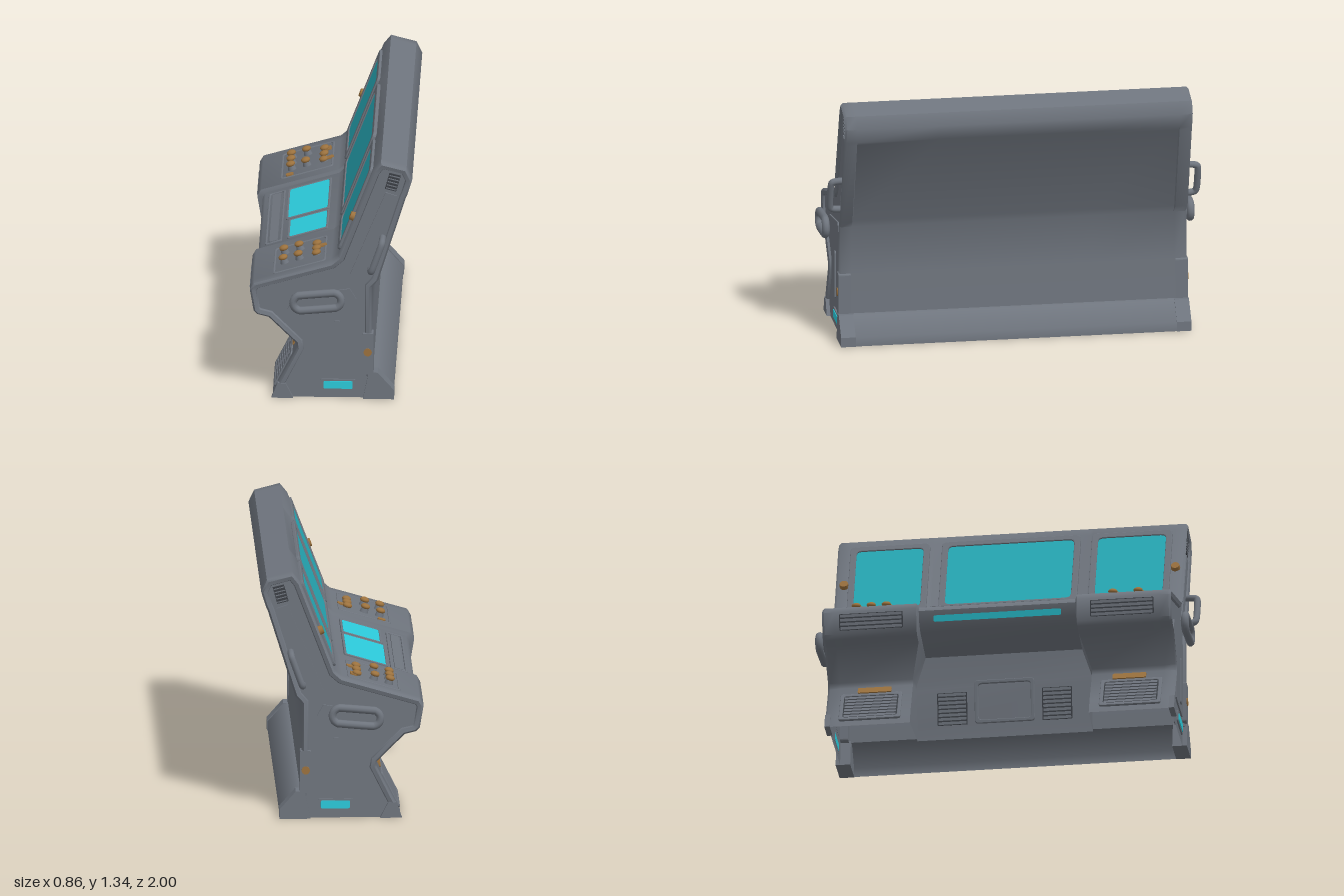
import * as THREE from 'three';
import { toCreasedNormals } from 'three/addons/utils/BufferGeometryUtils.js';

const material = (name, color, side = THREE.FrontSide) => {
  const m = new THREE.MeshStandardMaterial({ color, side });
  m.name = name;
  return m;
};
const body = material('grey metal', 0x6f757e, THREE.DoubleSide);
const dark = material('vent dark', 0x3c4046);
const glass = material('teal screen', 0x27abb8);
const glow = material('bright cyan', 0x2ccada);
const amber = material('amber', 0x9c723e);

// Cross-sections, from the front foot over the top to the back foot
const wing = [[-.31, 0], [-.28, .08], [-.18, .28], [-.185, .31], [-.33, .455], [-.39, .47], [-.41, .49], [-.43, .61],
  [-.41, .645], [0, .765], [.04, .8], [.225, 1.29], [.265, 1.34], [.4, 1.305], [.43, 1.24], [.405, 1.16],
  [.396, 1.14], [.25, .67], [.215, .63], [.215, .37], [.222, .15], [.245, .145], [.33, .05], [.33, 0]];
const kneeFront = [[-.07, 0], [-.075, .08], [-.1, .28], [-.1, .31], [-.12, .46], [-.33, .51], [-.375, .54], [-.4, .605],
  [-.385, .632], [.005, .75], [.045, .79], [.23, 1.288]];
const recessBack = (p) => p.map(([x, y], i) => (i === 16 || i === 17 ? [x - .012, y] : [x, y]));
const wingInner = recessBack(wing);
const middle = recessBack([...kneeFront, ...wing.slice(12)]);

// Shrinks a cross-section inward, keeping its ends on the floor
function inset(p, d) {
  const normal = (a, b) => {
    const l = Math.hypot(b[0] - a[0], b[1] - a[1]);
    return [(b[1] - a[1]) / l, -(b[0] - a[0]) / l];
  };
  const last = p.length - 1;
  return p.map((q, i) => {
    const end = i === 0 || i === last;
    const n0 = i === 0 ? normal(p[0], p[1]) : normal(p[i - 1], q);
    const n1 = i === last ? n0 : normal(q, p[i + 1]);
    const k = d / (1 + n0[0] * n1[0] + n0[1] * n1[1]);
    return [q[0] + (n0[0] + n1[0]) * k, end ? 0 : q[1] + (n0[1] + n1[1]) * k];
  });
}

// Skin through cross-sections placed along z, open underneath
function loft(stations) {
  const pos = [], index = [], n = wing.length;
  stations.forEach(([p, z]) => p.forEach(([x, y], i) => pos.push(x, y, typeof z === 'function' ? z(i) : z)));
  for (let j = 0; j < stations.length - 1; j++) for (let i = 0; i < n - 1; i++) {
    const a = j * n + i, d = a + n;
    index.push(a, d, d + 1, a, d + 1, a + 1);
  }
  const g = new THREE.BufferGeometry();
  g.setAttribute('position', new THREE.Float32BufferAttribute(pos, 3));
  g.setIndex(index);
  return toCreasedNormals(g, .8);
}

// Sloped working surface: a to b rises, the outside is on its left
function slope(a, b) {
  const d = new THREE.Vector3(b[0] - a[0], b[1] - a[1], 0).normalize();
  const n = new THREE.Vector3(-d.y, d.x, 0);
  const matrix = new THREE.Matrix4().makeBasis(d, new THREE.Vector3(0, 0, -1), n).setPosition(a[0], a[1], 0);
  return { matrix, angle: Math.atan2(d.y, d.x), s: (x) => (x - a[0]) / d.x };
}

function roundRect(T, x0, x1, y0, y1, r) {
  const p = new T();
  p.moveTo(x0 + r, y0).lineTo(x1 - r, y0).quadraticCurveTo(x1, y0, x1, y0 + r).lineTo(x1, y1 - r);
  p.quadraticCurveTo(x1, y1, x1 - r, y1).lineTo(x0 + r, y1).quadraticCurveTo(x0, y1, x0, y1 - r);
  p.lineTo(x0, y0 + r).quadraticCurveTo(x0, y0, x0 + r, y0);
  return p;
}

export function createModel() {
  const root = new THREE.Group();
  root.name = 'controlConsole';
  const add = (name, geo, mat) => {
    const m = new THREE.Mesh(geo, mat);
    m.name = name;
    root.add(m);
    return m;
  };
  // Rounded plate on a slope; rim > 0 makes it a frame of that width
  const plate = (name, mat, f, s0, s1, z0, z1, h, r = .012, rim = 0, sink = .002) => {
    const shape = roundRect(THREE.Shape, s0, s1, -z1, -z0, r);
    if (rim) shape.holes.push(roundRect(THREE.Path, s0 + rim, s1 - rim, -z1 + rim, -z0 - rim, r));
    const bevel = rim ? .004 : 0;
    const g = new THREE.ExtrudeGeometry(shape, { depth: h + sink - bevel, bevelEnabled: rim > 0, bevelSize: bevel,
      bevelThickness: bevel, bevelOffset: -bevel, bevelSegments: 2, curveSegments: 4 });
    g.translate(0, 0, -sink).applyMatrix4(f.matrix);
    return add(name, g, mat);
  };
  const louvres = (name, f, s0, s1, z0, z1, count) => {
    plate(name + 'Backing', dark, f, s0, s1, z0, z1, .002, .005);
    const step = (s1 - s0) / count;
    for (let i = 0; i < count; i++)
      plate(name + 'Slat', body, f, s0 + (i + .15) * step, s0 + (i + .8) * step, z0 + .006, z1 - .006, .006, .003);
  };

  // Main shell
  const split = (z) => (i) => (i < 4 ? .05 : 0) + z;
  const half = [[inset(wing, .035), .914], [inset(wing, .03), .926], [inset(wing, .01), .932], [wing, .92],
    [wing, .865], [wingInner, .86], [wingInner, split(.428)], [middle, split(.418)]];
  const mirrored = half.map(([p, z]) => [p, typeof z === 'function' ? (i) => -z(i) : -z]);
  add('shell', loft([...mirrored, ...half.reverse()]), body);

  const upright = slope(wing[10], wing[11]);
  const wingDesk = slope(wing[8], wing[9]);
  const midDesk = slope(middle[8], middle[9]);
  const wingFront = slope(wing[6], wing[7]);
  const foot = slope(wing[1], wing[2]);
  const kneeWall = slope(middle[1], middle[2]);
  const lip = slope(middle[6], middle[7]);

  // Upright screens
  for (const [z0, z1] of [[-.83, -.47], [-.34, .335], [.46, .825]]) {
    plate('uprightScreen', glass, upright, .042, .487, z0, z1, .007, .03);
    plate('screenFrame', body, upright, .01, .515, z0 - .033, z1 + .033, .014, .03, .034);
  }
  // Middle desk
  for (const [x0, z0, z1] of [[-.25, -.345, .06], [-.235, .105, .345]]) {
    plate('deskScreen', glow, midDesk, midDesk.s(x0), midDesk.s(-.042), z0, z1, .007, .012);
    plate('deskScreenBezel', body, midDesk, midDesk.s(x0 - .013), midDesk.s(-.029), z0 - .013, z1 + .013, .01, .012, .013);
  }
  plate('deskSlotTrim', body, midDesk, midDesk.s(-.365), midDesk.s(-.275), -.365, .36, .008, .01, .012);
  plate('deskSlot', body, midDesk, midDesk.s(-.342), midDesk.s(-.298), -.34, .335, .006, .008);
  plate('lipLight', glow, lip, .008, .042, -.34, .34, .005, .008);

  // Knee wall
  plate('kneePanel', body, kneeWall, 0, .24, -.16, .16, .01, .02, .02);
  for (const s of [-1, 1]) louvres('kneeVent', kneeWall, 0, .18, s * .28 - .08, s * .28 + .08, 8);

  const sidePart = (name, mat, shape, s, z0, z1) => {
    const g = new THREE.ExtrudeGeometry(shape, { depth: z1 - z0, bevelEnabled: false, curveSegments: 4 });
    return add(name, g.translate(0, 0, s > 0 ? z0 : -z1), mat);
  };
  const poly = (pts) => new THREE.Shape(pts.map(([x, y]) => new THREE.Vector2(x, y)));
  const tube = (name, pts, r, closed) => {
    const c = new THREE.CatmullRomCurve3(pts.map((p) => new THREE.Vector3(...p)), closed, 'catmullrom', .4);
    return add(name, new THREE.TubeGeometry(c, 48, r, 10, closed), body);
  };

  for (const s of [-1, 1]) {
    const span = (a, b) => (s > 0 ? [a, b] : [-b, -a]);

    // Side wall
    const capGeo = new THREE.ShapeGeometry(poly(inset(wing, .035)));
    if (s < 0) { capGeo.index.array.reverse(); capGeo.computeVertexNormals(); }
    add('sideWall', capGeo.translate(0, 0, s * .914), body);
    sidePart('sidePanel', body, poly([[-.1, .16], [-.09, .145], [.12, .145], [.135, .16], [.135, .56], [.1, .62],
      [-.2, .57], [-.23, .5], [-.11, .36]]), s, .913, .922);
    sidePart('sideRib', body, roundRect(THREE.Shape, .015, .05, .18, .44, .012), s, .913, .93);
    sidePart('rearPost', body, roundRect(THREE.Shape, .165, .226, .14, .37, .01), s, .87, .936);
    sidePart('rearFoot', body, poly([[.17, 0], [.334, 0], [.334, .052], [.248, .15], [.2, .15]]), s, .86, .938);
    sidePart('frontFoot', body, poly([[-.315, 0], [-.2, 0], [-.24, .08], [-.283, .085]]), s, .905, .934);
    sidePart('sideLightTrim', body, roundRect(THREE.Shape, -.055, .13, .042, .104, .01), s, .913, .922);
    sidePart('sideLight', glow, roundRect(THREE.Shape, -.04, .115, .052, .094, .008), s, .912, .926);
    const stud = add('sideStud', new THREE.CylinderGeometry(.022, .022, .012, 16), amber);
    stud.rotation.x = Math.PI / 2;
    stud.position.set(.195, .265, s * .934);

    // Raised rib on the upright and its top vent
    sidePart('uprightRib', body, poly([[.1, .7], [.17, .7], [.35, 1.15], [.29, 1.17]]), s, .913, .922);
    sidePart('topVent', dark, poly([[.285, 1.19], [.345, 1.175], [.37, 1.265], [.31, 1.28]]), s, .913, .919);
    for (let i = 0; i < 5; i++) {
      const x = .29 + i * .005, y = 1.195 + i * .0175;
      sidePart('topVentSlat', body, poly([[x, y], [x + .055, y - .014], [x + .056, y - .009], [x + .001, y + .005]]), s, .913, .922);
    }

    // Oval loop handle, slightly tilted
    const loop = [];
    for (let i = 0; i < 16; i++) {
      const right = i < 8, a = -Math.PI / 2 + (i % 8) / 7 * Math.PI + (right ? 0 : Math.PI);
      const u = (right ? .085 : -.085) + .043 * Math.cos(a), v = .043 * Math.sin(a);
      loop.push([-.072 + u * .995 - v * .09, .566 + u * .09 + v * .995, s * .977]);
    }
    tube('loopHandle', loop, .021, true);
    // Grab handle along the rear edge
    tube('grabHandle', [[.21, .73, s * .91], [.212, .735, s * .965], [.222, .76, s * .982], [.266, .885, s * .982],
      [.272, .905, s * .965], [.274, .91, s * .91]], .018, false);

    // Wing desk buttons
    plate('buttonPanel', body, wingDesk, wingDesk.s(-.31), wingDesk.s(-.03), ...span(.5, .86), .004, .02, .012);
    const [inner, mid, outer] = s < 0 ? [.61, .69, .77] : [.6, .67, .735];
    const buttons = [[-.25, inner], [-.25, outer], [-.17, inner], [-.17, outer], [-.08, inner], [-.08, mid], [-.08, outer]];
    if (s < 0) buttons.push([-.25, mid]);
    for (const [x, z] of buttons) {
      const y = .645 + (x + .41) * .293, drop = x > -.1 ? .02 : 0;
      const place = (mesh, lift) => {
        mesh.rotation.z = wingDesk.angle;
        mesh.position.set(x - Math.sin(wingDesk.angle) * lift, y + Math.cos(wingDesk.angle) * lift, s * z);
      };
      place(add('buttonBase', new THREE.CylinderGeometry(.018, .024, .026, 14), body), .011 - drop / 2);
      const cap = new THREE.SphereGeometry(.025, 14, 8).scale(1, .6, 1);
      place(add('buttonCap', cap, amber), .032 - drop);
    }
    const marks = [[-.28, -.24, .515, .55], [-.072, -.03, .615, .65]];
    if (s < 0) marks.push([-.085, -.045, .745, .795]);
    for (const [x0, x1, z0, z1] of marks)
      plate('deskMark', amber, wingDesk, wingDesk.s(x0), wingDesk.s(x1), ...span(z0, z1), .0075, .012);

    // Upright edge knob
    const knob = add('edgeKnob', new THREE.CylinderGeometry(.022, .026, .03, 14), amber);
    knob.rotation.z = upright.angle;
    knob.position.set(.115, 1.02, s * .885);

    // Wing front vents and pedestal grille
    louvres('wingVent', wingFront, .02, .11, ...span(.5, .84), 4);
    louvres('pedestalGrille', foot, -.03, .145, ...span(.55, .84), 7);
    plate('pedestalFrame', body, foot, -.05, .165, ...span(.53, .86), .008, .015, .02);
    plate('pedestalLabel', amber, foot, .172, .212, ...span(.59, .77), .007, .008, 0, -.0005);
  }
  return root;
}
